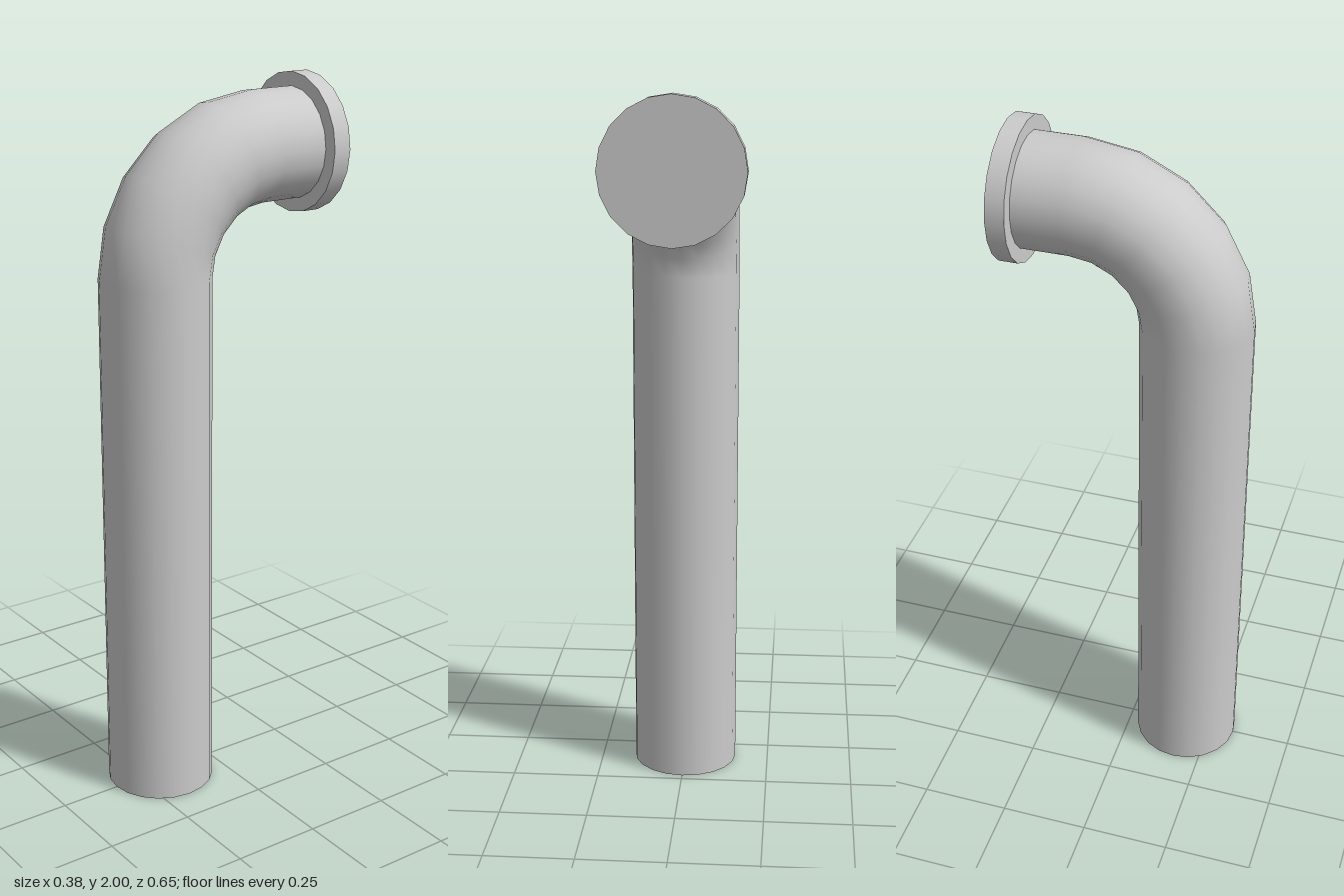
import * as THREE from 'three';

const SIDES = 20;
const PIPE_R = 0.152;    // pipe radius
const BEND_R = 0.319;    // centreline radius of the elbow
const BEND_Y = 1.49;     // elbow starts here
const BEND_Z = -0.145;   // elbow ends here
const FLANGE_FRONT = -0.275;
const FLANGE_BACK = -0.327;

export function createModel() {
  const group = new THREE.Group();
  const material = new THREE.MeshStandardMaterial({ color: 0xcccccc });

  const add = (name, geometry, y, z) => {
    const mesh = new THREE.Mesh(geometry, material);
    mesh.name = name;
    mesh.position.set(0, y, z);
    group.add(mesh);
  };
  const tube = (r, length, open) => new THREE.CylinderGeometry(r, r, length, SIDES, 1, open);

  const pipeZ = BEND_Z + BEND_R;
  const outletY = BEND_Y + BEND_R;

  // Upright pipe with its closed foot
  add('uprightPipe', tube(PIPE_R, BEND_Y, true), BEND_Y / 2, pipeZ);
  add('pipeFoot', new THREE.CircleGeometry(PIPE_R, SIDES).rotateX(Math.PI / 2), 0, pipeZ);

  // Quarter-turn elbow, curving from upright to the back
  add('elbow',
    new THREE.TorusGeometry(BEND_R, PIPE_R, SIDES, 5, Math.PI / 2).rotateY(-Math.PI / 2),
    BEND_Y, BEND_Z);

  // Short horizontal neck into the flange
  add('neck', tube(PIPE_R, BEND_Z - FLANGE_FRONT, true).rotateX(-Math.PI / 2),
    outletY, (BEND_Z + FLANGE_FRONT) / 2);

  // Round mounting flange
  add('flange', tube(0.191, FLANGE_FRONT - FLANGE_BACK, false).rotateX(-Math.PI / 2),
    outletY, (FLANGE_FRONT + FLANGE_BACK) / 2);

  return group;
}
